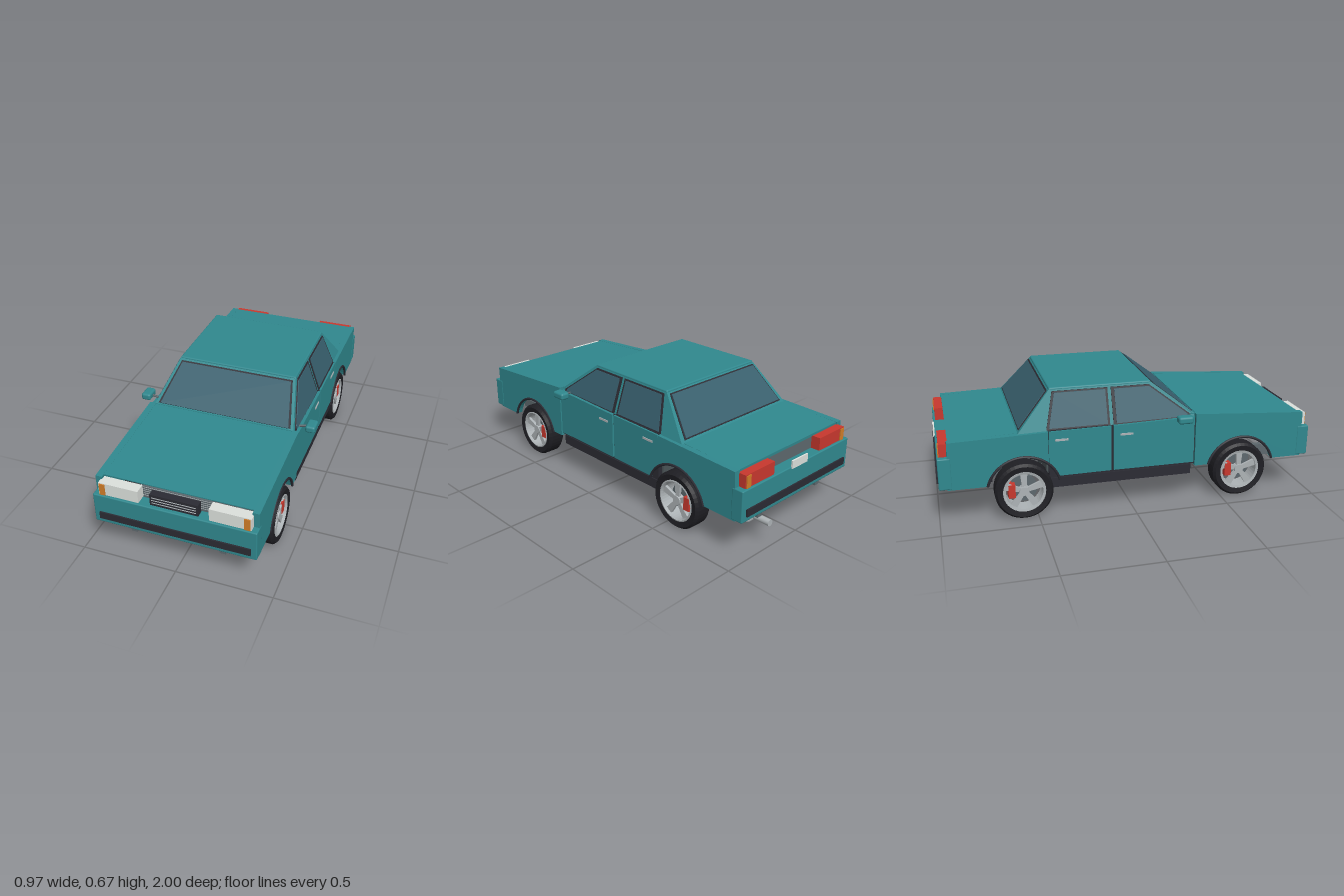
import * as THREE from 'three';
import { RoundedBoxGeometry } from 'three/addons/geometries/RoundedBoxGeometry.js';

const mat = (name, color) => {
  const m = new THREE.MeshStandardMaterial({ color });
  m.name = name;
  return m;
};

export function createModel() {
  const car = new THREE.Group();
  car.name = 'sedan';
  const teal = mat('teal paint', 0x30888e), glass = mat('blue glass', 0x385f6d);
  const rubber = mat('tyre rubber', 0x1f1f24), trim = mat('black trim', 0x2b2b33);
  const steel = mat('grey steel', 0x5d686d), alloy = mat('alloy', 0xadb3b6);
  const lamp = mat('lamp white', 0xdce0dc), amber = mat('amber', 0xd07c28);
  const red = mat('red', 0xc8382e), floorMat = mat('dark underside', 0x4a5356);

  const add = (name, geo, m, parent = car) => {
    const mesh = new THREE.Mesh(geo, m);
    mesh.name = name;
    parent.add(mesh);
    return mesh;
  };
  // Box given by its extents
  const box = (name, m, x0, x1, y0, y1, z0, z1, parent = car) =>
    add(name, new THREE.BoxGeometry(x1 - x0, y1 - y0, z1 - z0)
      .translate((x0 + x1) / 2, (y0 + y1) / 2, (z0 + z1) / 2), m, parent);
  // Box on both sides of the car
  const pair = (name, m, x0, x1, ...r) => {
    box(name + 'Left', m, x0, x1, ...r);
    box(name + 'Right', m, -x1, -x0, ...r);
  };
  const tube = (name, m, pts, r, seg = 24) =>
    add(name, new THREE.TubeGeometry(new THREE.CatmullRomCurve3(pts.map(p => new THREE.Vector3(...p))), seg, r, 8), m);
  const rod = (name, m, r, len, axis, x, y, z) => {
    const g = new THREE.CylinderGeometry(r, r, len, 16);
    if (axis === 'x') g.rotateZ(Math.PI / 2);
    if (axis === 'z') g.rotateX(Math.PI / 2);
    return add(name, g.translate(x, y, z), m);
  };
  const shapeOf = pts => new THREE.Shape(pts.map(p => new THREE.Vector2(...p)));
  // Side panel pair from a (z, y) outline; lean tilts it inward above the belt line
  const sidePanel = (name, m, pts, x0, x1, lean = 0) => {
    for (const s of [1, -1]) {
      const g = new THREE.ExtrudeGeometry(shapeOf(pts), { depth: x1 - x0, bevelEnabled: false });
      g.rotateY(-Math.PI / 2).translate(s > 0 ? x1 : -x0, 0, 0);
      const p = g.attributes.position;
      for (let i = 0; i < p.count; i++) p.setX(i, p.getX(i) - s * lean * (p.getY(i) - 0.47));
      g.computeVertexNormals();
      add(name + (s > 0 ? 'Left' : 'Right'), g, m);
    }
  };
  // Sloped trapezoid plate, from low edge (half width, y, z) to high edge
  const slope = (name, m, [w0, y0, z0], [w1, y1, z1], lift, depth, back) => {
    const dy = y1 - y0, dz = z1 - z0, L = Math.hypot(dy, dz);
    const g = new THREE.ExtrudeGeometry(shapeOf([[-w0, 0], [w0, 0], [w1, L], [-w1, L]]), { depth, bevelEnabled: false });
    g.translate(0, 0, lift).rotateX(Math.atan2(dz, dy)).translate(0, y0, z0);
    if (back) g.rotateY(Math.PI);
    add(name, g, m);
  };
  const FZ = 0.6, RZ = -0.57, AY = 0.15, AR = 0.19;
  const arc = (cz, a0, a1, n = 16) => Array.from({ length: n + 1 }, (_, i) => {
    const a = a0 + (a1 - a0) * i / n;
    return [cz + AR * Math.cos(a), AY + AR * Math.sin(a)];
  });
  const low = Math.asin(0.05 / AR), doorCut = Math.acos(0.13 / AR), doorLow = Math.asin(0.07 / AR);

  // Fenders, doors and rear quarters
  sidePanel('frontFender', teal, [[0.34, 0.2], [0.34, 0.49], [0.95, 0.45], [0.95, 0.2],
    ...arc(FZ, low, Math.PI - low)], 0.378, 0.412);
  sidePanel('frontDoor', teal, [[0.333, 0.222], [0.333, 0.475], [-0.103, 0.465], [-0.103, 0.222]], 0.38, 0.41);
  sidePanel('rearDoor', teal, [[-0.115, 0.222], [-0.115, 0.465], [-0.437, 0.462],
    ...arc(RZ, doorCut, doorLow, 6)], 0.38, 0.41);
  sidePanel('rearQuarter', teal, [[-0.442, 0.462], [-0.94, 0.45], [-0.95, 0.2],
    ...arc(RZ, Math.PI - low, doorCut + 0.01)], 0.378, 0.412);
  pair('doorGap', trim, 0.378, 0.4, 0.21, 0.465, -0.44, 0.34);
  pair('sill', trim, 0.34, 0.402, 0.155, 0.207, -0.44, 0.32);
  for (const z of [-0.035, -0.373]) pair('doorHandle', alloy, 0.405, 0.414, 0.41, 0.421, z - 0.034, z + 0.034);
  for (const cz of [FZ, RZ]) for (const s of [1, -1]) {
    const g = new THREE.TorusGeometry(AR, 0.007, 6, 32, Math.PI - 2 * low).rotateZ(low).rotateY(-Math.PI / 2);
    add('archLip', g.translate(s * 0.412, AY, cz), trim);
  }

  // Hood, cowl and boot lid
  slope('hood', teal, [0.379, 0.451, 0.93], [0.379, 0.488, 0.345], -0.005, 0.005);
  box('cowl', teal, -0.385, 0.385, 0.455, 0.488, 0.28, 0.342);
  slope('bootLid', teal, [0.379, 0.449, 0.935], [0.379, 0.46, 0.585], -0.014, 0.014, true);
  box('firewall', floorMat, -0.378, 0.378, 0.17, 0.46, 0.32, 0.335);
  box('rearBulkhead', floorMat, -0.378, 0.378, 0.17, 0.45, -0.45, -0.435);
  box('parcelShelf', teal, -0.385, 0.385, 0.44, 0.458, -0.59, -0.44);

  // Cabin
  const lean = 0.35;
  sidePanel('cabinSide', teal, [[0.337, 0.465], [0.337, 0.488], [0.112, 0.66], [-0.415, 0.66], [-0.592, 0.458]], 0.365, 0.39, lean);
  const windows = {
    front: [[0.318, 0.472], [0.314, 0.487], [0.102, 0.648], [-0.1, 0.648], [-0.1, 0.466]],
    rear: [[-0.118, 0.466], [-0.118, 0.648], [-0.405, 0.648], [-0.447, 0.466]],
  };
  for (const [k, pts] of Object.entries(windows)) {
    const c = [0, 1].map(j => pts.reduce((a, p) => a + p[j], 0) / pts.length);
    sidePanel(k + 'WindowSeal', trim, pts, 0.388, 0.394, lean);
    sidePanel(k + 'WindowGlass', glass, pts.map(p => p.map((v, j) => c[j] + (v - c[j]) * 0.92)), 0.39, 0.397, lean);
  }
  add('roof', new RoundedBoxGeometry(0.65, 0.022, 0.535, 3, 0.008).translate(0, 0.654, -0.152), teal);
  slope('windscreenFrame', teal, [0.386, 0.485, 0.335], [0.322, 0.66, 0.11], -0.02, 0.02);
  slope('windscreenSeal', trim, [0.367, 0.489, 0.33], [0.312, 0.648, 0.125], -0.001, 0.005);
  slope('windscreen', glass, [0.355, 0.489, 0.33], [0.305, 0.642, 0.133], 0, 0.007);
  slope('rearWindowFrame', teal, [0.39, 0.458, 0.592], [0.322, 0.66, 0.415], -0.02, 0.02, true);
  slope('rearWindowSeal', trim, [0.366, 0.468, 0.583], [0.312, 0.648, 0.4255], -0.001, 0.005, true);
  slope('rearWindow', glass, [0.357, 0.473, 0.579], [0.306, 0.642, 0.431], 0, 0.007, true);

  // Door mirrors
  for (const s of [1, -1]) {
    add('mirror', new RoundedBoxGeometry(0.052, 0.038, 0.08, 3, 0.012).translate(s * 0.459, 0.484, 0.262), teal);
    tube('mirrorArm', steel, [[s * 0.385, 0.475, 0.27], [s * 0.41, 0.479, 0.266], [s * 0.44, 0.483, 0.262]], 0.006, 4);
  }

  // Bumpers, lamps and indicator faces at both ends
  for (const [end, s, main] of [['front', 1, lamp], ['rear', -1, red]]) {
    const zb = (name, m, x0, x1, y0, y1, a, b) => box(name, m, x0, x1, y0, y1, Math.min(s * a, s * b), Math.max(s * a, s * b));
    add(end + 'Bumper', new RoundedBoxGeometry(0.828, 0.165, 0.066, 2, 0.006).translate(0, 0.287, s * 0.959), teal);
    zb(end + 'BumperStrip', trim, -0.385, 0.385, 0.232, 0.27, 0.99, 1);
    for (const m of [1, -1]) {
      const side = (n, mt, a, b, ...r) => zb(n, mt, Math.min(m * a, m * b), Math.max(m * a, m * b), ...r);
      side(end + 'Lamp', main, 0.178, 0.384, 0.369, 0.437, 0.925, 0.98);
      side(end + 'Indicator', amber, 0.35, 0.379, 0.37, 0.433, 0.978, 0.985);
      side(end + 'FrameRail', steel, 0.215, 0.245, 0.15, 0.205, 0.78, 0.95);
    }
  }
  box('radiator', steel, -0.178, 0.178, 0.28, 0.432, 0.89, 0.925);
  for (let i = 0; i < 5; i++) box('radiatorFin', alloy, -0.176, 0.176, 0.379 + i * 0.012, 0.381 + i * 0.012, 0.924, 0.927);
  box('grille', trim, -0.122, 0.122, 0.369, 0.432, 0.935, 0.972);
  for (let i = 0; i < 3; i++) box('grilleSlat', alloy, -0.112, 0.112, 0.384 + i * 0.015, 0.387 + i * 0.015, 0.97, 0.975);
  box('rearInnerPanel', steel, -0.178, 0.178, 0.33, 0.436, -0.93, -0.915);
  box('numberPlate', lamp, -0.06, 0.06, 0.36, 0.402, -0.997, -0.988);

  // Wheels: tyre, rim, spokes, brake disc and caliper (outer face towards +x)
  const V = (r, x) => new THREE.Vector2(r, x);
  const tyre = [V(0.108, -0.045), V(0.138, -0.05), V(0.15, -0.036), V(0.15, 0.036), V(0.138, 0.05), V(0.108, 0.045), V(0.108, -0.045)];
  const rim = [V(0.096, -0.043), V(0.11, -0.046), V(0.11, 0.046), V(0.103, 0.048), V(0.096, 0.04), V(0.096, -0.043)];
  const turn = (pts, n) => {
    const g = new THREE.LatheGeometry(pts, n).rotateZ(-Math.PI / 2).toNonIndexed();
    g.computeVertexNormals();
    return g;
  };
  for (const cz of [FZ, RZ]) for (const s of [1, -1]) {
    const w = new THREE.Group();
    w.name = (cz > 0 ? 'front' : 'rear') + 'Wheel' + (s > 0 ? 'Left' : 'Right');
    w.position.set(s * 0.365, AY, cz);
    add('tyre', turn(tyre, 40), rubber, w);
    add('rim', turn(rim, 40), alloy, w);
    const parts = new THREE.Group();
    parts.name = 'hubAssembly';
    if (s < 0) parts.rotation.y = Math.PI;
    w.add(parts);
    add('hub', new THREE.CylinderGeometry(0.024, 0.028, 0.03, 20).rotateZ(-Math.PI / 2).translate(0.025, 0, 0), alloy, parts);
    for (let i = 0; i < 5; i++) {
      const spoke = new THREE.ExtrudeGeometry(shapeOf([[-0.011, 0.015], [0.011, 0.015], [0.019, 0.1], [-0.019, 0.1]]), { depth: 0.014, bevelEnabled: false });
      add('spoke', spoke.rotateY(Math.PI / 2).translate(0.02, 0, 0).rotateX(i * Math.PI * 0.4), alloy, parts);
    }
    add('brakeDisc', new THREE.CylinderGeometry(0.072, 0.072, 0.01, 28).rotateZ(Math.PI / 2).translate(-0.01, 0, 0), steel, parts);
    box('caliper', red, -0.022, 0.037, -0.033, 0.038, -s * 0.063 - 0.018, -s * 0.063 + 0.018, parts);
    car.add(w);

    // Spring, damper and control arms
    const coil = Array.from({ length: 41 }, (_, i) => [
      s * 0.255 + 0.024 * Math.cos(i * Math.PI / 4), 0.2 + i * 0.0033, cz + 0.024 * Math.sin(i * Math.PI / 4)]);
    tube('spring', red, coil, 0.006, 120);
    rod('damper', steel, 0.012, 0.24, 'y', s * 0.255, 0.25, cz);
    box('springSeat', steel, s * 0.255 - 0.035, s * 0.255 + 0.035, 0.325, 0.335, cz - 0.035, cz + 0.035);
    for (const dz of [-0.05, 0.05]) tube('controlArm', steel, [[s * 0.1, 0.135, cz + dz * 1.6], [s * 0.22, 0.133, cz + dz], [s * 0.33, 0.13, cz]], 0.011, 6);
  }

  // Engine, gearbox and driveline
  box('engine', steel, -0.1, 0.1, 0.165, 0.41, 0.36, 0.56);
  box('engineCover', red, -0.075, 0.075, 0.41, 0.447, 0.38, 0.55);
  box('oilPan', steel, -0.052, 0.052, 0.11, 0.165, 0.38, 0.54);
  box('crossMember', steel, -0.3, 0.3, 0.152, 0.188, 0.66, 0.7);
  box('steeringBox', steel, -0.065, 0.065, 0.165, 0.203, 0.69, 0.75);
  rod('steeringRack', steel, 0.01, 0.62, 'x', 0, 0.14, 0.66);
  box('gearbox', steel, -0.05, 0.05, 0.14, 0.23, 0.08, 0.36);
  rod('driveShaft', steel, 0.017, 0.64, 'z', 0, 0.165, -0.24);
  rod('rearAxle', steel, 0.022, 0.64, 'x', 0, AY, RZ);
  add('differential', new THREE.SphereGeometry(0.05, 18, 12).translate(0, AY, RZ), steel);
  pair('chassisRail', steel, 0.215, 0.245, 0.185, 0.215, -0.8, 0.8);

  // Floor panels, tunnel, boot floor
  pair('floorPanel', floorMat, 0.075, 0.375, 0.16, 0.185, -0.44, 0.32);
  box('tunnel', trim, -0.085, 0.085, 0.23, 0.245, -0.44, 0.32);
  pair('tunnelWall', floorMat, 0.075, 0.085, 0.16, 0.24, -0.44, 0.32);
  box('bootFloor', floorMat, -0.376, 0.376, 0.23, 0.245, -0.945, -0.76);
  box('fuelTank', trim, -0.3, 0.12, 0.175, 0.23, -0.93, -0.72);

  // Exhaust
  tube('exhaustPipe', steel, [[0.1, 0.16, 0.42], [0.18, 0.135, 0.32], [0.2, 0.128, 0.1], [0.2, 0.115, -0.4],
    [0.2, 0.115, -0.6], [0.21, 0.13, -0.76]], 0.011);
  add('muffler', new RoundedBoxGeometry(0.11, 0.058, 0.175, 3, 0.02).translate(0.21, 0.131, -0.822), alloy);
  rod('exhaustTip', alloy, 0.017, 0.1, 'z', 0.21, 0.13, -0.95);
  return car;
}
